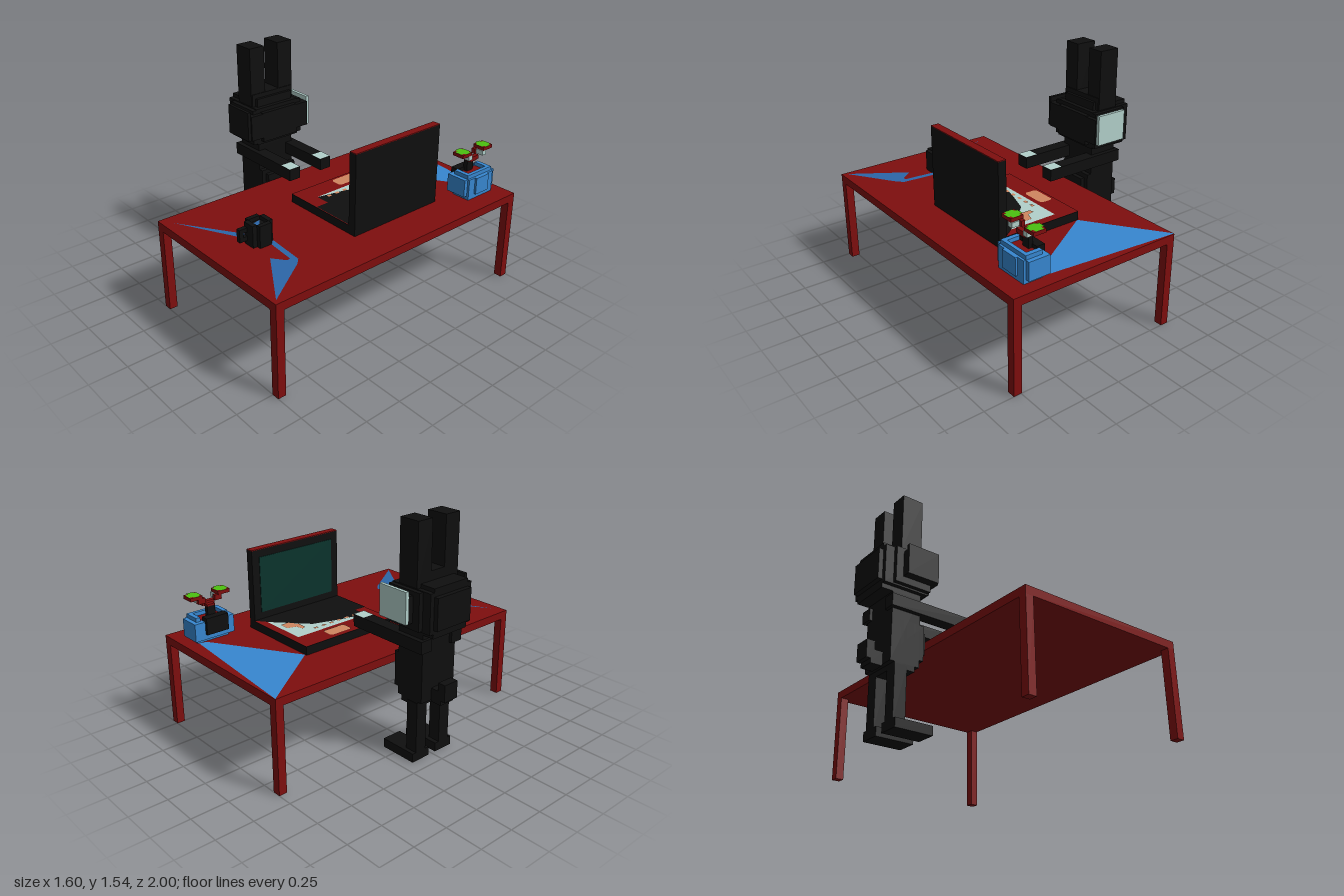
import * as THREE from 'three';

const mat = (name, color) => {
  const m = new THREE.MeshStandardMaterial({ color });
  m.name = name;
  return m;
};

export function createModel() {
  const red = mat('dark red', 0x7e0e0e);
  const black = mat('black', 0x0f0f0f);
  const blue = mat('blue', 0x3787d0);
  const deepBlue = mat('deep blue', 0x2c66a8);
  const pale = mat('pale mint', 0xb2d0cb);
  const orange = mat('salmon', 0xcf8660);
  const green = mat('green', 0x4cc010);
  const teal = mat('dark teal', 0x0a332c);

  const root = new THREE.Group();
  const group = (name) => {
    const g = new THREE.Group();
    g.name = name;
    root.add(g);
    return g;
  };
  // box given by its extents along each axis
  const box = (parent, name, m, [x0, x1], [y0, y1], [z0, z1]) => {
    const mesh = new THREE.Mesh(new THREE.BoxGeometry(x1 - x0, y1 - y0, z1 - z0), m);
    mesh.position.set((x0 + x1) / 2, (y0 + y1) / 2, (z0 + z1) / 2);
    mesh.name = name;
    parent.add(mesh);
  };
  // flat painted patch lying at height y, outline as [x, z] points
  const patch = (parent, name, m, y, pts) => {
    const shape = new THREE.Shape(pts.map(([x, z]) => new THREE.Vector2(x, -z)));
    const mesh = new THREE.Mesh(new THREE.ShapeGeometry(shape).rotateX(-Math.PI / 2), m);
    mesh.position.y = y;
    mesh.name = name;
    parent.add(mesh);
  };
  const rect = (x0, x1, z0, z1) => [[x0, z0], [x1, z0], [x1, z1], [x0, z1]];
  const sides = [-1, 1];
  const mirrorZ = (s, a, b) => (s > 0 ? [a, b] : [-b, -a]);

  // Table
  const table = group('table');
  box(table, 'tableTop', red, [-0.4, 0.8], [0.575, 0.63], [-1, 1]);
  for (const x of [-0.4, 0.745])
    for (const s of sides) box(table, 'tableLeg', red, [x, x + 0.055], [0, 0.575], mirrorZ(s, 0.945, 1));
  patch(table, 'bluePatch', blue, 0.633, [[-0.4, -1], [0.54, -0.91], [0.52, -0.86], [-0.05, -0.515]]);
  patch(table, 'leftBluePatch', deepBlue, 0.633, [[-0.31, 0.94], [0.16, 0.7], [0.16, 0.635]]);
  patch(table, 'rightBluePatch', deepBlue, 0.633,
    [[0.26, 0.6], [0.52, 0.62], [0.56, 0.66], [0.77, 0.975], [0.41, 0.74], [0.49, 0.68], [0.49, 0.655], [0.26, 0.635]]);

  // Rabbit: stepped head
  const rabbit = group('rabbit');
  const head = [
    [[-0.8, -0.43], [0.915, 1.12], 0.14],
    [[-0.77, -0.46], [0.89, 1.145], 0.17],
    [[-0.77, -0.49], [0.86, 1.17], 0.14],
    [[-0.66, -0.49], [0.86, 1.2], 0.14],
    [[-0.66, -0.51], [1.1, 1.23], 0.165],
    [[-0.66, -0.43], [0.945, 1.115], 0.235],
    [[-0.71, -0.46], [0.9, 1.14], 0.2],
  ];
  for (const [x, y, z] of head) box(rabbit, 'head', black, x, y, [-z, z]);
  box(rabbit, 'darkCheek', black, [-0.66, -0.44], [0.945, 1.147], [0.235, 0.257]);
  box(rabbit, 'paleCheek', pale, [-0.66, -0.44], [0.945, 1.147], [-0.257, -0.235]);

  // Rabbit: body and rounded belly
  const body = [
    [[-0.69, -0.49], [0.41, 0.89], 0.14],
    [[-0.66, -0.52], [0.375, 0.45], 0.14],
    [[-0.69, -0.46], [0.46, 0.69], 0.14],
    [[-0.69, -0.43], [0.52, 0.66], 0.11],
  ];
  for (const [x, y, z] of body) box(rabbit, 'body', black, x, y, [-z, z]);
  box(rabbit, 'tailBase', black, [-0.77, -0.69], [0.4, 0.49], [-0.055, 0.055]);
  box(rabbit, 'tailTip', black, [-0.8, -0.745], [0.43, 0.545], [-0.055, 0.055]);

  // Rabbit: paired limbs and ears
  for (const s of sides) {
    box(rabbit, 'ear', black, [-0.66, -0.515], [1.15, 1.545], mirrorZ(s, 0.055, 0.17));
    box(rabbit, 'arm', black, [-0.71, -0.115], [0.75, 0.83], mirrorZ(s, 0.087, 0.172));
    box(rabbit, 'leg', black, [-0.66, -0.575], [0.05, 0.4], mirrorZ(s, 0.06, 0.143));
    box(rabbit, 'foot', black, [-0.66, -0.4], [0, 0.06], mirrorZ(s, 0.03, 0.17));
    patch(rabbit, 'paw', pale, 0.832, rect(-0.205, -0.115, ...mirrorZ(s, 0.087, 0.172)));
  }

  // Laptop: base, painted keyboard deck, upright screen
  const laptop = group('laptop');
  box(laptop, 'base', black, [-0.06, 0.54], [0.63, 0.687], [-0.51, 0.2]);
  patch(laptop, 'deck', red, 0.689, rect(-0.06, 0.485, -0.51, 0.2));
  patch(laptop, 'keyboard', pale, 0.691, [[0.085, -0.46], [0.42, -0.46], [0.19, -0.24], [0.13, 0.1], [0.085, 0.1]]);
  patch(laptop, 'darkDeck', black, 0.693,
    [[0.484, -0.51], [0.484, 0.2], [0.19, 0.2], [0.19, 0.11], [0.09, 0.11], [0.13, -0.08], [0.19, -0.26], [0.4, -0.45]]);
  patch(laptop, 'touchpad', orange, 0.693,
    [[-0.02, -0.29], [0.04, -0.29], [0.055, -0.275], [0.055, -0.13], [0.04, -0.115], [-0.02, -0.115], [-0.035, -0.13], [-0.035, -0.275]]);
  patch(laptop, 'keyPatch', orange, 0.695,
    [[0.17, -0.36], [0.22, -0.37], [0.24, -0.43], [0.31, -0.43], [0.31, -0.37], [0.25, -0.33], [0.18, -0.33]]);
  for (let i = 0; i < 6; i++) {
    const z = -0.3 + i * 0.065;
    patch(laptop, 'key', orange, 0.695, rect(0.115, 0.135, z, z + 0.03));
  }
  box(laptop, 'screenCase', black, [0.485, 0.54], [0.687, 1.17], [-0.51, 0.2]);
  box(laptop, 'screenTopEdge', red, [0.485, 0.54], [1.17, 1.175], [-0.51, 0.2]);
  box(laptop, 'screen', teal, [0.481, 0.486], [0.74, 1.12], [-0.455, 0.145]);

  // Mug with a looped handle
  const mug = group('mug');
  box(mug, 'mugBody', black, [0.14, 0.285], [0.63, 0.75], [0.63, 0.715]);
  box(mug, 'mugBody', black, [0.17, 0.255], [0.63, 0.75], [0.6, 0.745]);
  for (const [x0, x1, z0, z1] of [[0.14, 0.17, 0.63, 0.715], [0.255, 0.285, 0.63, 0.715], [0.17, 0.255, 0.6, 0.63], [0.17, 0.255, 0.715, 0.745]])
    box(mug, 'mugRim', black, [x0, x1], [0.74, 0.775], [z0, z1]);
  patch(mug, 'drink', deepBlue, 0.752, [[0.18, 0.64], [0.25, 0.69], [0.19, 0.69]]);
  for (const y of [0.66, 0.717]) box(mug, 'handleBar', black, [0.17, 0.2], [y, y + 0.028], [0.745, 0.8]);
  box(mug, 'handleGrip', black, [0.17, 0.2], [0.66, 0.745], [0.772, 0.8]);

  // Vase: stepped blue pot with dark soil
  const plant = group('plant');
  box(plant, 'pot', blue, [0.51, 0.655], [0.655, 0.775], [-0.944, -0.657]);
  box(plant, 'pot', blue, [0.541, 0.684], [0.66, 0.775], [-0.86, -0.74]);
  box(plant, 'pot', blue, [0.541, 0.67], [0.63, 0.775], [-0.915, -0.685]);
  for (const z of [-0.915, -0.715]) box(plant, 'potRim', blue, [0.541, 0.655], [0.77, 0.802], [z, z + 0.03]);
  box(plant, 'potRim', blue, [0.63, 0.655], [0.77, 0.802], [-0.885, -0.715]);
  box(plant, 'potRim', black, [0.49, 0.545], [0.69, 0.802], [-0.87, -0.71]);
  patch(plant, 'soil', red, 0.777, rect(0.545, 0.63, -0.885, -0.715));

  // Flower: stem and two mirrored sprigs with green tops
  box(plant, 'stem', black, [0.54, 0.57], [0.77, 0.86], [-0.828, -0.772]);
  box(plant, 'fork', red, [0.57, 0.6], [0.86, 0.887], [-0.845, -0.755]);
  box(plant, 'forkBase', red, [0.54, 0.6], [0.855, 0.872], [-0.828, -0.772]);
  for (const s of sides) {
    const at = (a, b) => mirrorZ(s, a, b).map((z) => z - 0.8);
    box(plant, 'sprig', red, [0.545, 0.572], [0.885, 0.92], at(0.035, 0.085));
    box(plant, 'blossom', pale, [0.572, 0.625], [0.887, 0.918], at(0.05, 0.085));
    box(plant, 'petal', red, [0.54, 0.625], [0.918, 0.942], at(0.058, 0.143));
    patch(plant, 'leafTop', green, 0.945, rect(0.535, 0.63, ...at(0.075, 0.12)));
    patch(plant, 'leafTop', green, 0.944, rect(0.555, 0.61, ...at(0.058, 0.143)));
  }
  return root;
}
